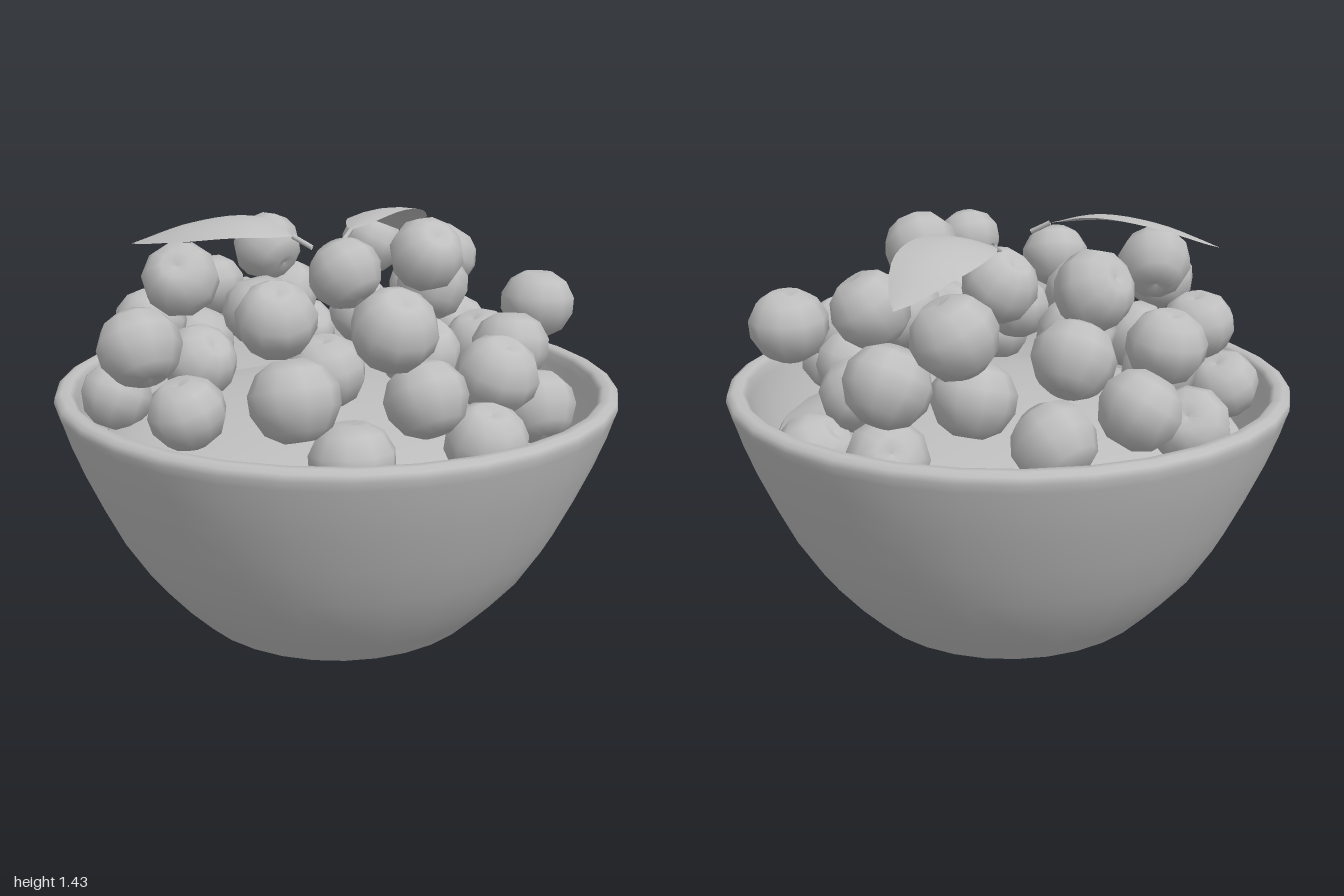
import * as THREE from 'three';

const grey = new THREE.MeshStandardMaterial({ color: 0xbfbfbf, side: THREE.DoubleSide });
grey.name = 'plain grey';

const lathe = (pts, sides) =>
  new THREE.LatheGeometry(pts.map(([r, y]) => new THREE.Vector2(r, y)), sides);

// Fruit centres (x, y, z), from the back of the bowl to the front
const backFruits = [
  [-0.05, 0.945, -0.81], [-0.235, 1.085, -0.66], [-0.3, 0.83, -0.72], [0.19, 0.85, -0.725],
  [0.04, 1.05, -0.56], [-0.06, 1.25, -0.5], [-0.37, 0.93, -0.42], [0.49, 1.2, -0.68],
  [0.36, 0.95, -0.51], [0.64, 1.03, -0.52], [0.64, 0.79, -0.49], [0.6, 1.205, -0.27],
  [0.63, 0.92, -0.22], [0.79, 0.745, -0.235], [-0.13, 1.045, -0.265], [-0.74, 0.79, -0.285],
  [-0.59, 1.04, -0.32], [-0.54, 1.23, -0.1], [0.08, 1.2, -0.095],
];
const frontFruits = [
  [0.42, 1.135, -0.05], [-0.5, 0.95, -0.05], [-0.295, 1.12, 0.01], [0.56, 0.93, 0.07],
  [0.755, 1.075, 0.15], [0.18, 1.05, 0.11], [0.255, 1.3, 0.185], [-0.64, 0.86, 0.23],
  [-0.785, 1.095, 0.235], [0.125, 1.01, 0.385], [0.5, 0.985, 0.36], [-0.225, 0.99, 0.395],
  [-0.4, 1.18, 0.41], [0.48, 0.825, 0.56], [0.265, 0.98, 0.635], [0.15, 0.81, 0.765],
  [-0.05, 0.97, 0.735], [-0.185, 1.205, 0.775], [-0.3, 0.81, 0.74], [-0.46, 1.005, 0.685],
];

// Curved leaf: cross-sections swept along a bent midrib, pointed at both ends
function makeLeaf(name, points, halfWidth) {
  const leaf = new THREE.Group();
  leaf.name = name;
  const curve = new THREE.CatmullRomCurve3(points.map(p => new THREE.Vector3(...p)));
  const along = new THREE.Vector3().subVectors(curve.getPoint(1), curve.getPoint(0));
  const side = new THREE.Vector3(-along.z, 0, along.x).normalize();
  const geo = new THREE.PlaneGeometry(1, 1, 4, 14);
  const pos = geo.attributes.position;
  for (let i = 0; i < pos.count; i++) {
    const t = pos.getY(i) + 0.5;
    const u = pos.getX(i) * 2;
    const swell = Math.sin(Math.PI * t);
    const p = curve.getPoint(t).addScaledVector(side, u * halfWidth * Math.pow(swell, 0.8));
    pos.setXYZ(i, p.x, p.y + (0.025 * u - 0.02 * u * u) * swell, p.z);
  }
  geo.computeVertexNormals();
  const blade = new THREE.Mesh(geo, grey);
  blade.name = name + 'Blade';

  // Short stalk continuing from the base of the blade
  const base = curve.getPoint(0);
  const end = base.clone().addScaledVector(along.normalize(), -0.07);
  end.y = base.y - 0.035;
  const stalk = new THREE.Mesh(
    new THREE.TubeGeometry(new THREE.LineCurve3(base, end), 2, 0.009, 6), grey);
  stalk.name = name + 'Stalk';
  leaf.add(blade, stalk);
  return leaf;
}

export function createModel() {
  const model = new THREE.Group();
  model.name = 'fruitBowl';
  const add = (name, geo, parent = model) => {
    const mesh = new THREE.Mesh(geo, grey);
    mesh.name = name;
    parent.add(mesh);
    return mesh;
  };

  // Bowl: outer wall, rounded rim, inner wall
  add('bowl', lathe([
    [0.55, 0], [0.635, 0.09], [0.725, 0.2], [0.81, 0.34], [0.875, 0.48], [0.93, 0.61],
    [0.97, 0.72], [0.99, 0.79], [1.0, 0.82], [0.995, 0.842], [0.975, 0.853], [0.945, 0.85],
    [0.93, 0.835], [0.925, 0.8], [0.9, 0.7], [0.85, 0.56], [0.76, 0.38], [0.6, 0.17],
    [0.4, 0.07], [0, 0.05],
  ], 32));
  // Slightly hollowed underside
  add('bowlBase', lathe([[0, 0.03], [0.25, 0.024], [0.45, 0.01], [0.55, 0]], 32));

  // Low mound filling the bowl under the fruit
  add('filling', lathe([
    [0.84, 0.56], [0.855, 0.63], [0.83, 0.67], [0.7, 0.715], [0.45, 0.755], [0.2, 0.775], [0, 0.78],
  ], 24));

  // Fruit: slightly flattened, shallow dimples at both ends, each turned its own way
  const fruitGeo = lathe([
    [0, -0.1], [0.045, -0.114], [0.095, -0.085], [0.128, -0.025],
    [0.129, 0.03], [0.098, 0.085], [0.05, 0.114], [0, 0.098],
  ], 10);
  const pile = new THREE.Group();
  pile.name = 'fruitPile';
  model.add(pile);
  [...backFruits, ...frontFruits].forEach(([x, y, z], i) => {
    const fruit = add('fruit', fruitGeo, pile);
    fruit.position.set(x, y, z);
    fruit.rotation.set(Math.sin(i * 2.3) * 0.6, i * 1.7, Math.cos(i * 3.1) * 0.6);
    fruit.scale.setScalar(1.02 + 0.03 * Math.sin(i * 5));
  });

  // Two loose leaves on top
  model.add(makeLeaf('rightLeaf',
    [[-0.19, 1.375, 0.055], [-0.32, 1.415, -0.07], [-0.48, 1.39, -0.22], [-0.63, 1.32, -0.37]], 0.135));
  model.add(makeLeaf('leftLeaf',
    [[0.13, 1.35, -0.15], [0.29, 1.4, -0.265], [0.46, 1.365, -0.39], [0.61, 1.25, -0.505]], 0.13));

  return model;
}
